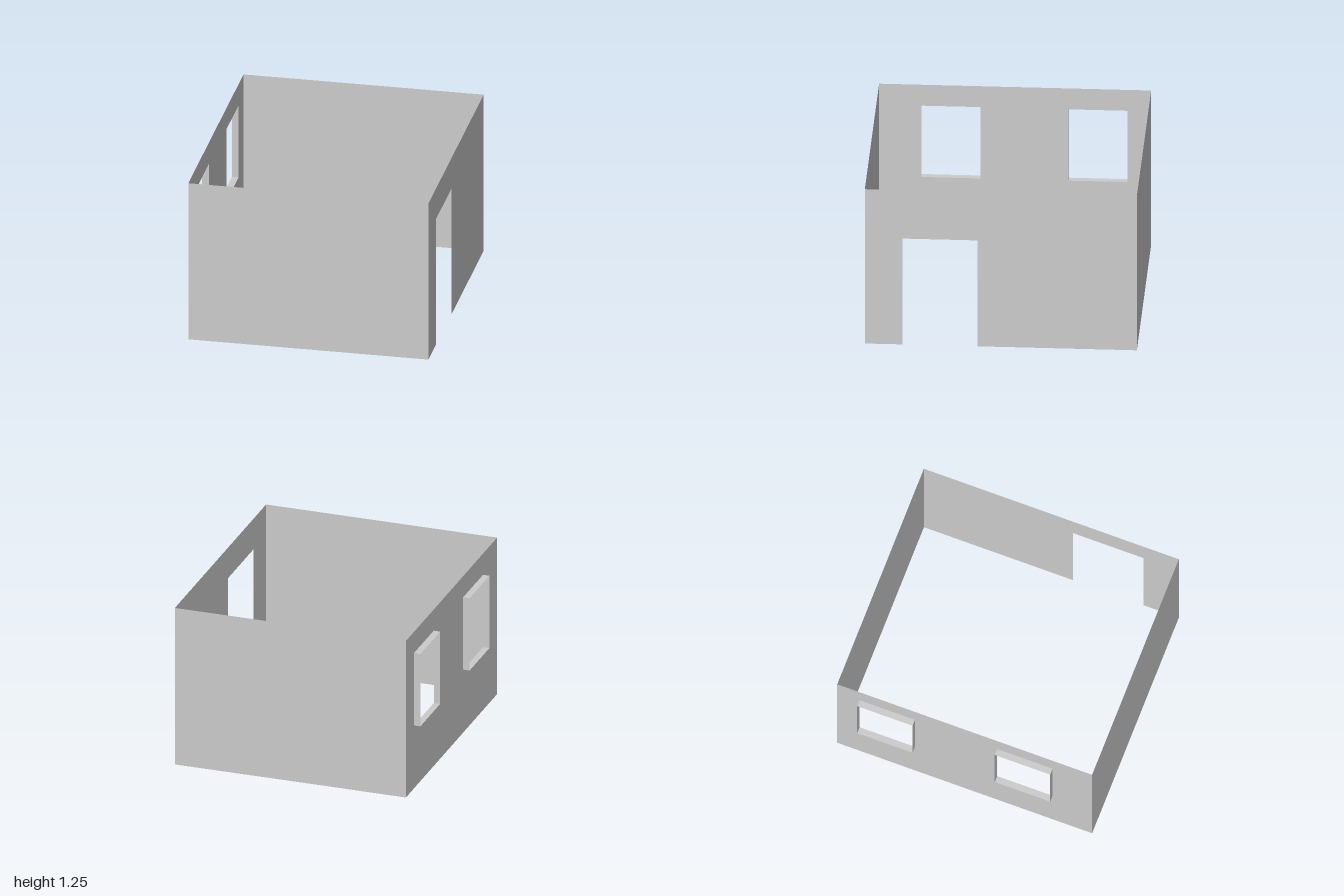
import * as THREE from 'three';

const H = 1.255, LEFT = 0.925, RIGHT = -0.875, HALF = 1, DEPTH = 0.05;
const SILL = 0.505, HEAD = 1.085;
const material = new THREE.MeshStandardMaterial({ color: 0xcccccc, side: THREE.DoubleSide });

const addMesh = (parent, name, geometry) => {
  const mesh = new THREE.Mesh(geometry, material);
  mesh.name = name;
  parent.add(mesh);
  return mesh;
};

const points = (list) => list.map(([a, b]) => new THREE.Vector2(a, b));
const rect = (a0, a1, b0, b1) => points([[a0, b0], [a1, b0], [a1, b1], [a0, b1]]);

// Thin side wall drawn in (z, y), turned to stand at the given x
function sideWall(parent, name, outline, holes, x) {
  const shape = new THREE.Shape(outline);
  holes.forEach((hole) => shape.holes.push(new THREE.Path(hole)));
  const geometry = new THREE.ShapeGeometry(shape);
  geometry.rotateY(-Math.PI / 2).translate(x, 0, 0);
  addMesh(parent, name, geometry);
}

// Thin rim that projects outward around a window opening
function windowRim(parent, name, z0, z1) {
  const rim = new THREE.Group();
  rim.name = name;
  const x = RIGHT - DEPTH / 2, zMid = (z0 + z1) / 2, yMid = (SILL + HEAD) / 2;
  for (const [part, y] of [['sill', SILL], ['head', HEAD]]) {
    const g = new THREE.PlaneGeometry(DEPTH, z1 - z0).rotateX(part === 'head' ? -Math.PI / 2 : Math.PI / 2);
    addMesh(rim, part, g.translate(x, y, zMid));
  }
  for (const [part, z] of [['backJamb', z0], ['frontJamb', z1]]) {
    const g = new THREE.PlaneGeometry(DEPTH, HEAD - SILL).rotateY(part === 'backJamb' ? Math.PI : 0);
    addMesh(rim, part, g.translate(x, yMid, z));
  }
  parent.add(rim);
}

export function createModel() {
  const room = new THREE.Group();
  room.name = 'room';

  // Plain front and back walls
  for (const [name, z] of [['frontWall', HALF], ['backWall', -HALF]]) {
    const g = new THREE.PlaneGeometry(LEFT - RIGHT, H);
    if (z < 0) g.rotateY(Math.PI);
    addMesh(room, name, g.translate((LEFT + RIGHT) / 2, H / 2, z));
  }

  // Wall with the doorway, open down to the floor
  const doorOutline = points([
    [-HALF, 0], [0.17, 0], [0.17, 1.01], [0.725, 1.01],
    [0.725, 0], [HALF, 0], [HALF, H], [-HALF, H],
  ]);
  sideWall(room, 'doorWall', doorOutline, [], LEFT);

  // Wall with two windows and their rims
  const windows = [['frontWindowRim', 0.255, 0.69], ['backWindowRim', -0.825, -0.39]];
  const openings = windows.map(([, z0, z1]) => rect(z0, z1, SILL, HEAD));
  sideWall(room, 'windowWall', rect(-HALF, HALF, 0, H), openings, RIGHT);
  windows.forEach(([name, z0, z1]) => windowRim(room, name, z0, z1));

  return room;
}
